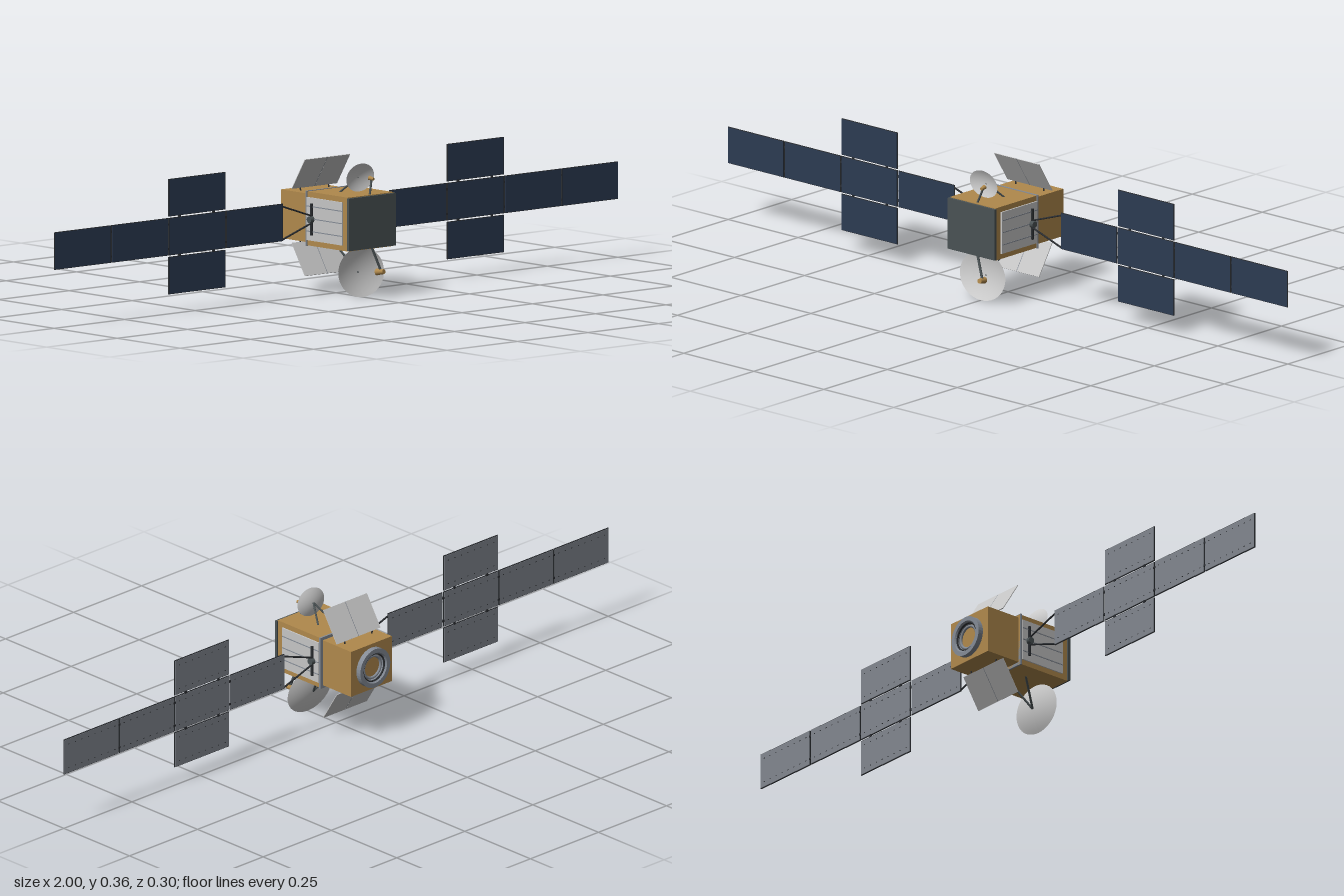
import * as THREE from 'three';

const mat = (name, color, side = THREE.FrontSide) =>
  Object.assign(new THREE.MeshStandardMaterial({ color, side }), { name });

export function createModel() {
  const M = {
    gold: mat('gold foil', 0xb0894c),
    dark: mat('dark plate', 0x4a5254),
    black: mat('black trim', 0x2b2e32),
    cell: mat('solar cell blue', 0x2c3b52),
    back: mat('panel back grey', 0x82878f),
    metal: mat('ring metal', 0x858c96),
    light: mat('light radiator', 0xc6c6c6),
    dish: mat('dish white', 0xcfcfcf, THREE.DoubleSide),
  };
  const root = new THREE.Group();
  root.name = 'satellite';
  const CY = 0.208;

  const add = (name, geo, m, x = 0, y = 0, z = 0, parent = root) => {
    const mesh = new THREE.Mesh(geo, m);
    mesh.name = name;
    mesh.position.set(x, y, z);
    parent.add(mesh);
    return mesh;
  };
  const box = (name, w, h, d, m, x, y, z, parent) =>
    add(name, new THREE.BoxGeometry(w, h, d), m, x, y, z, parent);
  // round bar between two points, with radii at its start and end
  const bar = (name, a, b, r0, r1, m, parent = root, sides = 10) => {
    const p = new THREE.Vector3(...a), q = new THREE.Vector3(...b);
    const dir = q.clone().sub(p);
    const mesh = add(name, new THREE.CylinderGeometry(r1, r0, dir.length(), sides), m, 0, 0, 0, parent);
    mesh.position.copy(p).add(q).multiplyScalar(0.5);
    mesh.quaternion.setFromUnitVectors(new THREE.Vector3(0, 1, 0), dir.normalize());
    return mesh;
  };

  // body
  box('mainBody', 0.162, 0.144, 0.166, M.gold, 0, CY, 0.055);
  box('rearBody', 0.15, 0.13, 0.107, M.gold, 0, CY, -0.0815);
  box('frontPlate', 0.168, 0.14, 0.008, M.dark, 0, CY, 0.141);
  box('bodyFrame', 0.168, 0.147, 0.005, M.metal, 0, CY, -0.0255);

  // engine ring on the back
  const ringProfile = [[0.036, 0], [0.055, 0], [0.055, 0.015], [0.043, 0.015], [0.036, 0.006], [0.036, 0]]
    .map(([r, h]) => new THREE.Vector2(r, h));
  const ringGeo = new THREE.LatheGeometry(ringProfile, 40).toNonIndexed();
  ringGeo.computeVertexNormals();
  add('adapterRing', ringGeo, M.metal, 0, CY, -0.135).rotation.x = -Math.PI / 2;
  add('ringTrim', new THREE.TorusGeometry(0.039, 0.003, 8, 40), M.black, 0, CY, -0.143);
  add('innerRing', new THREE.TorusGeometry(0.031, 0.004, 8, 40), M.metal, 0, CY, -0.137);

  for (const s of [1, -1]) {
    const wing = new THREE.Group();
    wing.name = s > 0 ? 'leftWing' : 'rightWing';
    root.add(wing);

    // side radiator with its seams
    box('radiator', 0.005, 0.115, 0.14, M.light, s * 0.0825, CY, 0.048);
    for (const y of [-0.033, 0.001, 0.034])
      box('radiatorSeam', 0.002, 0.0025, 0.138, M.metal, s * 0.085, CY + y, 0.048);

    // hinge and yoke
    bar('hub', [s * 0.08, CY, 0], [s * 0.096, CY, 0], 0.01, 0.009, M.dark, wing, 16);
    box('hubBar', 0.006, 0.085, 0.006, M.black, s * 0.087, CY, 0, wing);
    for (const v of [1, -1])
      bar('yoke', [s * 0.088, CY + v * 0.01, 0], [s * 0.192, CY + v * 0.045, 0], 0.0025, 0.0025, M.black, wing, 6);

    // solar panels: four in a row, plus one above and one below the second
    const panels = [[0.29, 0.21], [0.494, 0.21], [0.697, 0.21], [0.9, 0.21], [0.494, 0.314], [0.494, 0.106]];
    for (const [px, py] of panels) {
      const x = s * px;
      box('panelFrame', 0.2, 0.1, 0.003, M.black, x, py, 0, wing);
      box('solarCells', 0.197, 0.097, 0.001, M.cell, x, py, 0.002, wing);
      box('panelBack', 0.197, 0.097, 0.001, M.back, x, py, -0.002, wing);
      for (const v of [1, -1])
        for (let i = 0; i < 8; i++)
          box('fastener', 0.004, 0.002, 0.001, M.black, x - 0.084 + i * 0.024, py + v * 0.034, -0.0025, wing);
    }
    // panel hinges
    for (const hx of [0.392, 0.5955, 0.7985])
      for (const v of [1, -1])
        box('panelHinge', 0.008, 0.006, 0.004, M.black, s * hx, 0.21 + v * 0.033, -0.001, wing);
    for (const hy of [0.262, 0.158])
      for (const v of [1, -1])
        box('panelHinge', 0.006, 0.008, 0.004, M.black, s * 0.494 + v * 0.06, hy, -0.001, wing);
  }

  // tilted rear flaps, above and below
  for (const v of [1, -1]) {
    const flap = new THREE.Group();
    flap.name = v > 0 ? 'upperFlap' : 'lowerFlap';
    flap.position.set(0, CY + v * 0.114, -0.06);
    flap.rotation.x = v * 0.56;
    root.add(flap);
    for (const s of [1, -1])
      box('flapPanel', 0.079, 0.098, 0.002, M.light, s * 0.0405, 0, 0, flap);
    box('flapSeam', 0.003, 0.098, 0.0016, M.metal, 0, 0, 0, flap);
    for (const s of [1, -1])
      bar('flapHinge', [s * 0.05, CY + v * 0.062, -0.084], [s * 0.05, CY + v * 0.073, -0.086], 0.002, 0.002, M.black);
  }

  // oval dish antenna, opening towards the front
  const dish = (name, rx, ry, depth, tilt, y, z) => {
    const profile = [];
    for (let i = 0; i <= 8; i++) profile.push(new THREE.Vector2(rx * i / 8, depth * (i / 8) ** 2));
    const geo = new THREE.LatheGeometry(profile, 40);
    geo.rotateX(Math.PI / 2);
    geo.scale(1, ry / rx, 1);
    geo.computeVertexNormals();
    add(name, geo, M.dish, 0, y, z).rotation.x = tilt;
  };
  dish('upperDish', 0.049, 0.038, 0.009, 0.12, 0.323, 0.087);
  dish('lowerDish', 0.081, 0.066, 0.013, -0.107, 0.068, 0.087);

  // dish struts and feed horns
  for (const s of [1, -1]) {
    bar('upperStrut', [0, 0.322, 0.086], [s * 0.025, 0.279, 0.042], 0.0025, 0.0025, M.dark);
    bar('lowerStrut', [0, 0.067, 0.086], [s * 0.03, 0.137, 0.036], 0.003, 0.003, M.dark);
  }
  bar('upperFeedBoom', [0.006, 0.278, 0.127], [0.02, 0.32, 0.119], 0.003, 0.003, M.dark);
  bar('upperFeed', [0.02, 0.319, 0.127], [0.018, 0.321, 0.112], 0.004, 0.006, M.gold, root, 16);
  bar('lowerFeedBoom', [0.01, 0.138, 0.131], [0.034, 0.076, 0.139], 0.0035, 0.0035, M.dark);
  bar('lowerFeed', [0.035, 0.073, 0.151], [0.031, 0.07, 0.127], 0.0065, 0.009, M.gold, root, 16);

  return root;
}
